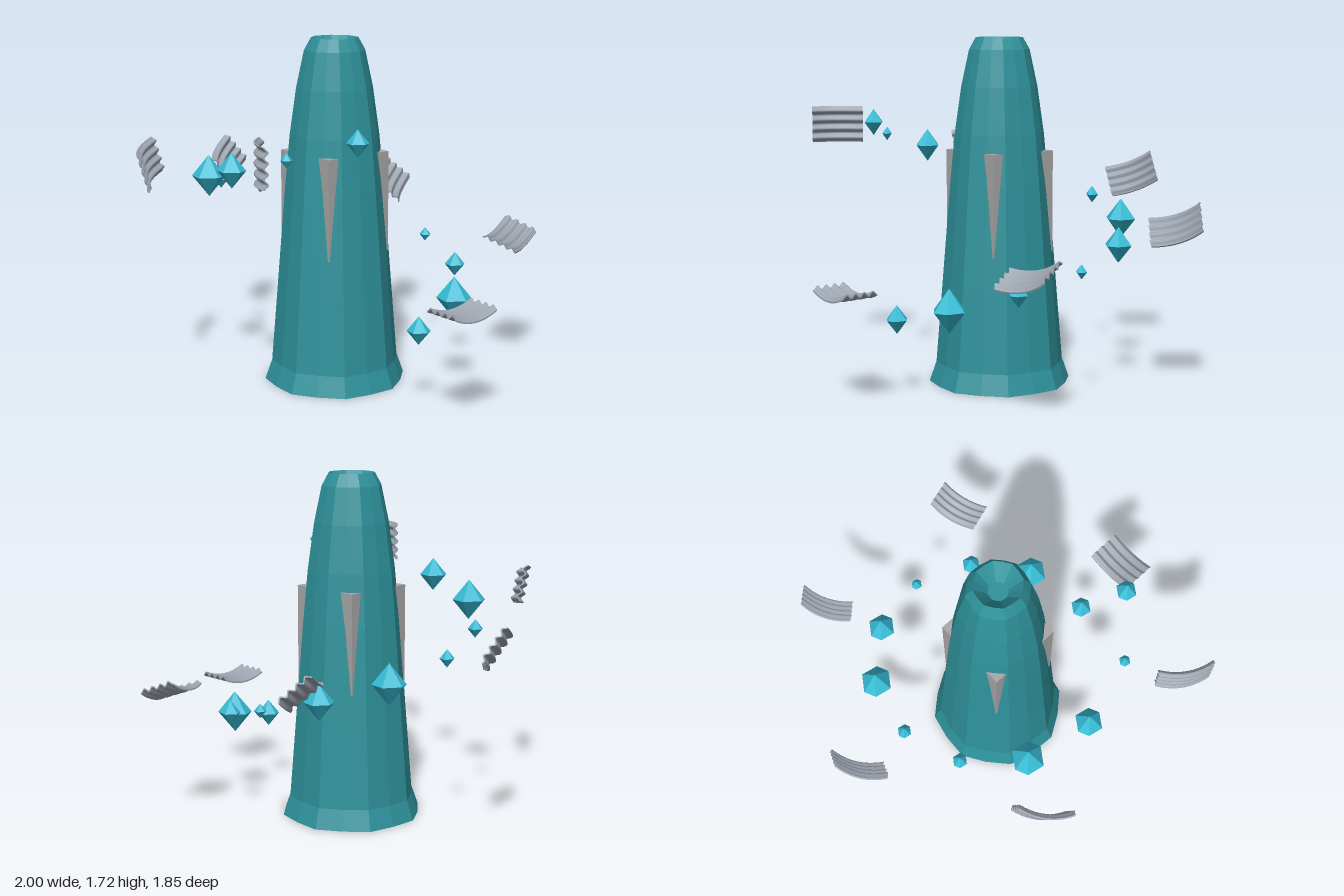
import * as THREE from 'three';

const mat = (name, color, extra = {}) => {
  const m = new THREE.MeshStandardMaterial({ color, ...extra });
  m.name = name;
  return m;
};
const CZ = 0.025; // z of the tower axis

// Tapered tower: eight sharp ridges with soft folds between them, funnel at the top
function makeTower(material) {
  const profile = [
    [0, 0], [0.355, 0], [0.32, 0.1], [0.287, 0.5], [0.246, 1.0], [0.222, 1.25],
    [0.189, 1.48], [0.15, 1.66], [0.116, 1.72], [0.048, 1.64], [0, 1.64],
  ].map(([r, y]) => new THREE.Vector2(r, y));
  const geo = new THREE.LatheGeometry(profile, 16, THREE.MathUtils.degToRad(14));
  const pos = geo.attributes.position;
  for (let i = 0; i < pos.count; i++) {
    const column = Math.floor(i / profile.length);
    const k = column % 2 ? 0.957 : 1;
    pos.setXYZ(i, pos.getX(i) * k, pos.getY(i), pos.getZ(i) * k);
  }
  geo.computeVertexNormals();
  const mesh = new THREE.Mesh(geo, material);
  mesh.name = 'tower';
  mesh.position.z = CZ;
  return mesh;
}

// Six-sided double pyramid of unit half-height
function crystalGeometry() {
  const ring = [0, 70, 133, 180, 250, 313].map((deg) => {
    const a = THREE.MathUtils.degToRad(deg);
    return [0.81 * Math.cos(a), 0, 0.81 * Math.sin(a)];
  });
  const verts = [];
  ring.forEach((p, i) => {
    const q = ring[(i + 1) % ring.length];
    verts.push(...q, ...p, 0, 1, 0, ...p, ...q, 0, -1, 0);
  });
  const geo = new THREE.BufferGeometry();
  geo.setAttribute('position', new THREE.Float32BufferAttribute(verts, 3));
  geo.computeVertexNormals();
  return geo;
}

// Thin corrugated sheet, bowed along its length (x) and rippled across (z)
function plateGeometry() {
  const L = 0.26, W = 0.185;
  const geo = new THREE.BoxGeometry(L, 0.008, W, 10, 1, 32);
  const pos = geo.attributes.position;
  for (let i = 0; i < pos.count; i++) {
    const x = pos.getX(i), z = pos.getZ(i);
    const bow = 0.03 * (1 - (2 * x / L) ** 2) - 0.012;
    const ripple = 0.009 * Math.cos((z / W) * Math.PI * 8);
    pos.setY(i, pos.getY(i) + bow + ripple);
  }
  geo.computeVertexNormals();
  return geo;
}

export function createModel() {
  const model = new THREE.Group();
  model.name = 'crystalTower';
  const teal = mat('teal', 0x2e919a, { flatShading: true });
  const cyan = mat('cyan', 0x35bbd4, { flatShading: true });
  const stone = mat('stone grey', 0xa8a6a8);
  const steel = mat('steel grey', 0x9ea6b1);

  model.add(makeTower(teal));

  // Square posts whose corners break through the tower wall
  const postGeo = new THREE.BoxGeometry(0.12, 0.5, 0.12);
  for (const sx of [-1, 1]) {
    for (const sz of [-1, 1]) {
      const post = new THREE.Mesh(postGeo, stone);
      post.name = 'cornerPost';
      post.position.set(sx * 0.126, 0.915, CZ + sz * 0.13);
      model.add(post);
    }
  }

  // Descending spiral of crystals
  const crystals = new THREE.Group();
  crystals.name = 'crystalSpiral';
  const gem = crystalGeometry();
  const sizes = [0.064, 0.035, 0.085, 0.102, 0.046, 0.044, 0.1, 0.088, 0.036, 0.062, 0.106, 0.07];
  sizes.forEach((s, k) => {
    const a = (k + 1) * Math.PI / 6;
    const mesh = new THREE.Mesh(gem, cyan);
    mesh.name = 'crystal';
    mesh.scale.setScalar(s);
    mesh.position.set(0.62 * Math.cos(a), 1.31 - 0.0835 * k, CZ + 0.62 * Math.sin(a));
    crystals.add(mesh);
  });
  model.add(crystals);

  // Outer spiral of corrugated plates: length and ripple directions for each
  const plates = new THREE.Group();
  plates.name = 'plateSpiral';
  const sheet = plateGeometry();
  const directions = [
    [[0.22, 0, 0.14], [0, -0.18, 0]],
    [[0.19, -0.06, 0.2], [0, -0.16, -0.05]],
    [[0.16, -0.1, 0.2], [0.05, -0.15, -0.1]],
    [[0.14, -0.09, 0.21], [0.09, -0.11, -0.09]],
    [[0.075, -0.05, 0.225], [0.155, -0.06, -0.07]],
    [[0, 0, 1], [1, 0, 0]],
  ];
  directions.forEach(([along, across], k) => {
    const u = new THREE.Vector3(...along).normalize();
    const n = new THREE.Vector3(...across).cross(u).normalize();
    const w = new THREE.Vector3().crossVectors(u, n);
    const a = (k + 1) * Math.PI / 3;
    const mesh = new THREE.Mesh(sheet, steel);
    mesh.name = 'corrugatedPlate';
    mesh.quaternion.setFromRotationMatrix(new THREE.Matrix4().makeBasis(u, n, w));
    mesh.position.set(0.905 * Math.cos(a), 1.265 - 0.142 * k, CZ + 0.905 * Math.sin(a));
    plates.add(mesh);
  });
  model.add(plates);

  return model;
}
